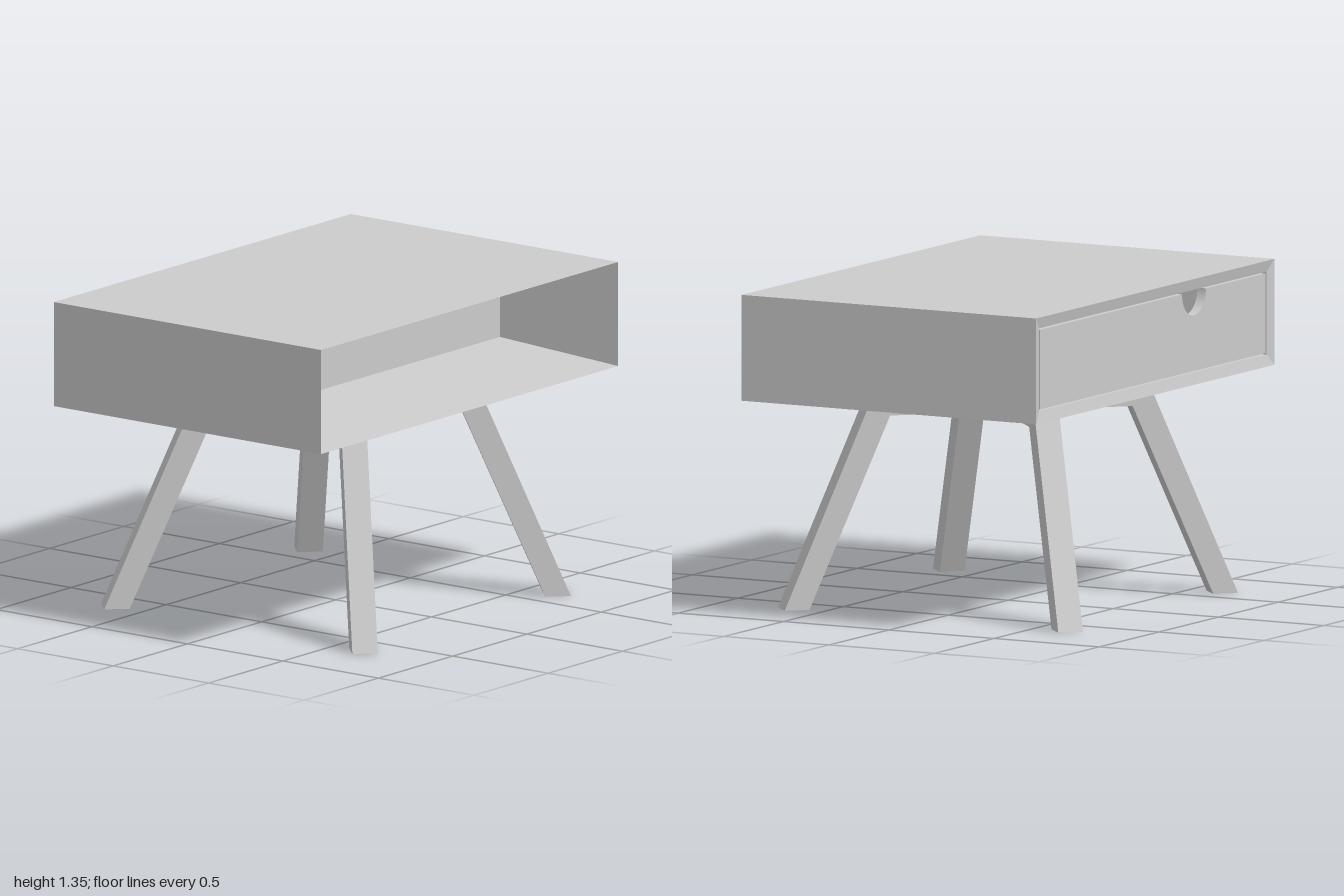
import * as THREE from 'three';

const grey = new THREE.MeshStandardMaterial({ color: 0xcccccc, flatShading: true });

function add(parent, name, geometry, x = 0, y = 0, z = 0) {
  const mesh = new THREE.Mesh(geometry, grey);
  mesh.name = name;
  mesh.position.set(x, y, z);
  parent.add(mesh);
  return mesh;
}

// Skin through four-cornered rings, closed by a cap at each end.
// Rings turn counter-clockwise about the direction of travel.
function loft(rings) {
  const out = [];
  const quad = (a, b, c, d) => out.push(...a, ...b, ...c, ...a, ...c, ...d);
  for (let k = 0; k < rings.length - 1; k++) {
    const a = rings[k], b = rings[k + 1];
    for (let i = 0; i < 4; i++) {
      const j = (i + 1) % 4;
      quad(a[i], a[j], b[j], b[i]);
    }
  }
  const [s, e] = [rings[0], rings[rings.length - 1]];
  quad(s[3], s[2], s[1], s[0]);
  quad(e[0], e[1], e[2], e[3]);
  const g = new THREE.BufferGeometry();
  g.setAttribute('position', new THREE.Float32BufferAttribute(out, 3));
  g.computeVertexNormals();
  return g;
}

// Rectangular ring of the cabinet at depth z, inset from its outer size
function cabinetRing(inset, z) {
  const x = 1 - inset, y0 = 0.908 + inset, y1 = 1.35 - inset;
  return [[x, y0, z], [-x, y0, z], [-x, y1, z], [x, y1, z]];
}

// Leg section between an inner and an outer point of the bent beam
function legRing(xIn, yIn, xOut, yOut, w) {
  return [[xIn, yIn, -w], [xOut, yOut, -w], [xOut, yOut, w], [xIn, yIn, w]];
}

export function createModel() {
  const model = new THREE.Group();
  model.name = 'sideTable';

  // Cabinet: tapering open shelf in front, drawer bay behind
  add(model, 'cabinet', loft([
    cabinetRing(0.048, 0.118),
    cabinetRing(0, 0.70),
    cabinetRing(0, -0.70),
    cabinetRing(0.048, -0.688),
    cabinetRing(0.048, 0.106),
  ]));

  // Drawer, opening to the back
  const drawer = new THREE.Group();
  drawer.name = 'drawer';
  model.add(drawer);
  const hx = 0.944, y0 = 0.963, y1 = 1.295;

  // Face with a half-round finger notch in its top edge
  const notchX = -0.345, notchR = 0.1;
  const face = new THREE.Shape();
  face.moveTo(-hx, y0);
  face.lineTo(hx, y0);
  face.lineTo(hx, y1);
  face.lineTo(notchX + notchR, y1);
  face.absarc(notchX, y1, notchR, 0, -Math.PI, true);
  face.lineTo(-hx, y1);
  face.closePath();
  add(drawer, 'drawerFace',
    new THREE.ExtrudeGeometry(face, { depth: 0.04, bevelEnabled: false, curveSegments: 20 }), 0, 0, -0.688);

  // Drawer tray
  add(drawer, 'drawerFloor', new THREE.BoxGeometry(1.84, 0.02, 0.73), 0, 0.975, -0.283);
  add(drawer, 'drawerEnd', new THREE.BoxGeometry(1.84, 0.27, 0.03), 0, 1.1, 0.08);
  for (const s of [-1, 1]) {
    add(drawer, 'drawerSide', new THREE.BoxGeometry(0.03, 0.27, 0.73), s * 0.905, 1.1, -0.283);
  }

  // Two crossed bent beams, each forming a pair of splayed legs with hollow ends
  const half = [
    [-0.826, 0.15, -0.884, 0.15, 0.03],
    [-0.890, 0, -0.948, 0, 0.03],
    [-0.866, 0, -0.972, 0, 0.053],
    [-0.520, 0.798, -0.583, 0.908, 0.053],
  ];
  const mirrored = half.map(([a, b, c, d, w]) => [-a, b, -c, d, w]).reverse();
  const beam = loft([...half, ...mirrored].map((r) => legRing(...r)));
  for (const s of [-1, 1]) {
    add(model, 'legPair', beam).rotation.y = s * Math.PI / 4;
  }
  return model;
}
